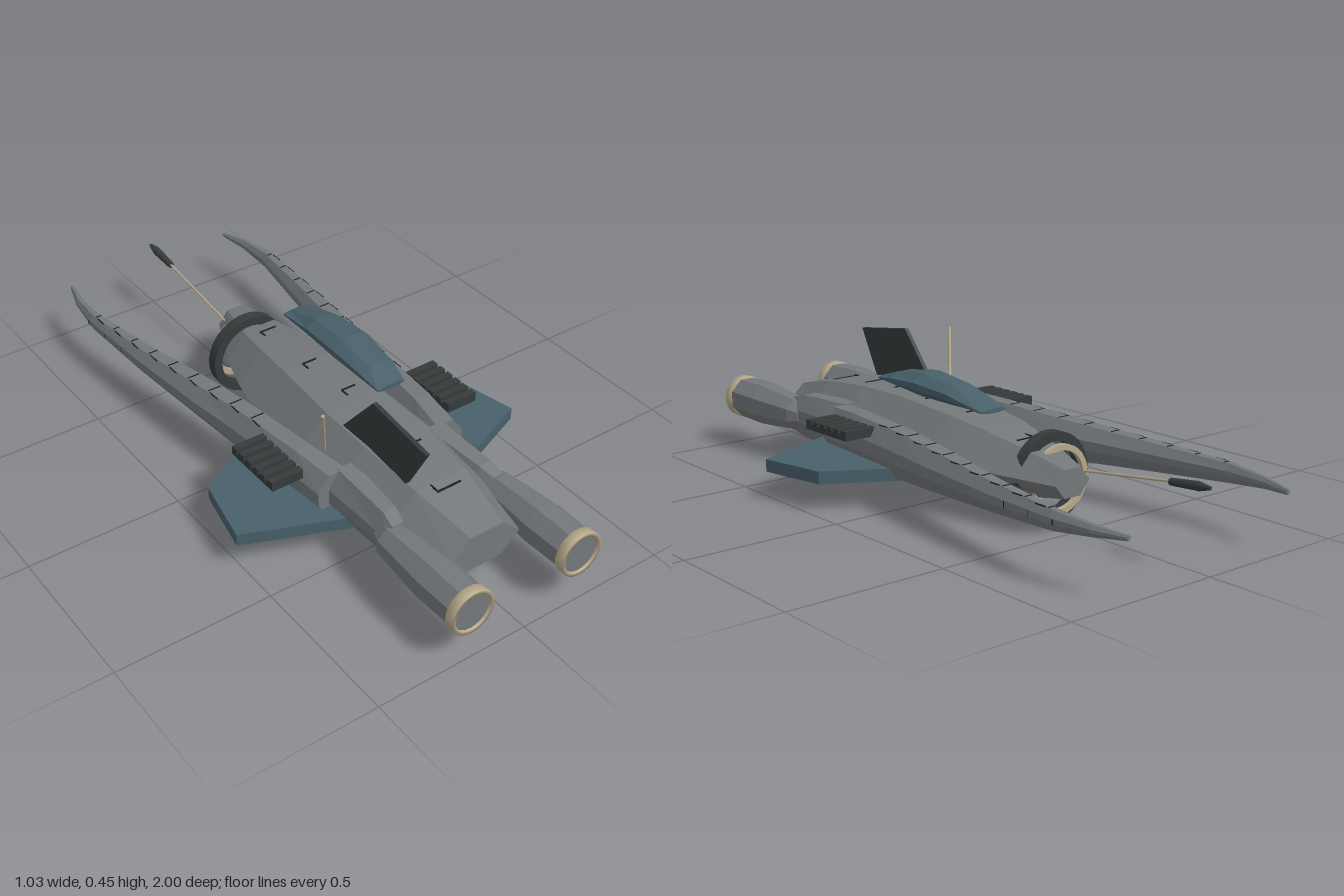
import * as THREE from 'three';

const paint = (name, color, side = THREE.FrontSide) => {
  const m = new THREE.MeshStandardMaterial({ color, side });
  m.name = name;
  return m;
};

// Unit cross-sections, counter-clockwise seen from the front
const HEX = [[1, 0], [0.47, 1], [-0.47, 1], [-1, 0], [-0.47, -1], [0.47, -1]];
const OCT = [[1, -0.25], [1, 0.3], [0.45, 1], [-0.45, 1], [-1, 0.3], [-1, -0.25], [-0.45, -1], [0.45, -1]];

// Faceted body through stations [z, xMin, xMax, yMin, yMax], ordered front to back
function loft(shape, stations) {
  const rings = stations.map(([z, x0, x1, y0, y1]) => shape.map(([u, v]) =>
    [(x0 + x1) / 2 + u * (x1 - x0) / 2, (y0 + y1) / 2 + v * (y1 - y0) / 2, z]));
  const pos = [], n = shape.length, last = rings.length - 1;
  const tri = (a, b, c) => pos.push(...a, ...b, ...c);
  for (let i = 0; i < last; i++) for (let j = 0; j < n; j++) {
    const k = (j + 1) % n, p = rings[i], q = rings[i + 1];
    tri(p[j], q[j], p[k]);
    tri(p[k], q[j], q[k]);
  }
  for (let j = 1; j < n - 1; j++) {
    tri(rings[0][0], rings[0][j], rings[0][j + 1]);
    tri(rings[last][0], rings[last][j + 1], rings[last][j]);
  }
  const g = new THREE.BufferGeometry();
  g.setAttribute('position', new THREE.Float32BufferAttribute(pos, 3));
  g.computeVertexNormals();
  return g;
}

// Value of a station column at a given z
function sample(stations, z, col) {
  for (let i = 0; i < stations.length - 1; i++) {
    const a = stations[i], b = stations[i + 1];
    if (z <= a[0] && z >= b[0]) return THREE.MathUtils.lerp(a[col], b[col], (a[0] - z) / (a[0] - b[0]));
  }
  return stations[stations.length - 1][col];
}

const mirrorX = (s, stations) => s > 0 ? stations : stations.map(([z, a, b, c, d]) => [z, -b, -a, c, d]);

const HULL = [
  [0.82, -0.12, 0.125, 0.1, 0.22], [0.62, -0.19, 0.19, 0.06, 0.265], [0.4, -0.22, 0.22, 0.04, 0.287],
  [0.2, -0.212, 0.215, 0.04, 0.287], [-0.05, -0.175, 0.21, 0.053, 0.275], [-0.2, -0.145, 0.195, 0.07, 0.26],
  [-0.34, -0.1, 0.165, 0.088, 0.238], [-0.53, -0.01, 0.12, 0.12, 0.205],
];
const PRONG = [
  [0.4, 0.13, 0.265, 0.088, 0.238], [0.26, 0.16, 0.278, 0.09, 0.245], [0, 0.19, 0.302, 0.095, 0.24],
  [-0.19, 0.215, 0.325, 0.105, 0.23], [-0.5, 0.278, 0.352, 0.125, 0.212], [-0.77, 0.322, 0.365, 0.143, 0.2],
  [-0.9, 0.32, 0.348, 0.157, 0.19], [-1, 0.303, 0.316, 0.166, 0.181],
];

export function createModel() {
  const root = new THREE.Group();
  const grey = paint('hull grey', 0x74787b);
  const teal = paint('dark teal', 0x48606a);
  const dark = paint('charcoal', 0x353a3a);
  const cream = paint('sand metal', 0xb5a88a);
  const seam = paint('panel seam', 0x1e2122);

  const add = (name, geo, mat, x = 0, y = 0, z = 0, parent = root) => {
    const m = new THREE.Mesh(geo, mat);
    m.name = name;
    m.position.set(x, y, z);
    parent.add(m);
    return m;
  };
  const box = (w, h, d) => new THREE.BoxGeometry(w, h, d);
  const rod = (name, from, to, r0, r1, mat, sides = 8) => {
    const a = new THREE.Vector3(...from), b = new THREE.Vector3(...to), d = b.clone().sub(a);
    const m = add(name, new THREE.CylinderGeometry(r1, r0, d.length(), sides), mat);
    m.position.copy(a).add(b).multiplyScalar(0.5);
    m.quaternion.setFromUnitVectors(new THREE.Vector3(0, 1, 0), d.normalize());
    return m;
  };

  add('hull', loft(HEX, HULL), grey);
  add('canopy', loft(OCT, [
    [0.27, 0.042, 0.14, 0.335, 0.35], [0.19, 0.038, 0.158, 0.327, 0.373], [0.05, 0.035, 0.175, 0.32, 0.394],
    [-0.1, 0.045, 0.172, 0.32, 0.38], [-0.25, 0.06, 0.158, 0.32, 0.333],
  ]), teal);

  for (const s of [1, -1]) {
    // Long curved prongs and the fairings that lead to the engines
    add('prong', loft(OCT, mirrorX(s, PRONG)), grey);
    add('engineFairing', loft(OCT, mirrorX(s, [
      [0.66, 0.14, 0.225, 0.105, 0.22], [0.61, 0.125, 0.222, 0.09, 0.235], [0.39, 0.1, 0.228, 0.08, 0.242],
    ])), grey);

    // Engine with nozzle ring
    const engine = new THREE.Group();
    engine.name = 'engine';
    engine.position.set(0.193 * s, 0.163, 0);
    root.add(engine);
    const ring = (z, r) => [z, -r, r, -r, r];
    const eight = Array.from({ length: 8 }, (_, i) => {
      const a = (i + 0.5) * Math.PI / 4;
      return [Math.cos(a), Math.sin(a)];
    });
    add('engineBody', loft(eight, [ring(0.975, 0.069), ring(0.84, 0.072), ring(0.65, 0.055), ring(0.61, 0.035)]),
      grey, 0, 0, 0, engine);
    const nozzle = [[0.06, 0.97], [0.072, 0.97], [0.072, 1], [0.06, 1], [0.06, 0.97]]
      .map(p => new THREE.Vector2(...p));
    add('nozzleRing', new THREE.LatheGeometry(nozzle, 28).toNonIndexed(), cream, 0, 0, 0, engine)
      .rotation.x = Math.PI / 2;
    add('nozzleDisc', new THREE.CircleGeometry(0.061, 28), grey, 0, 0, 0.993, engine);

    // Flat swept wing
    const plan = new THREE.Shape([[0.09, -0.09], [0.468, 0.13], [0.513, 0.35], [0.22, 0.47], [0.09, 0.52]]
      .map(([x, z]) => new THREE.Vector2(x * s, z)));
    add('wing', new THREE.ExtrudeGeometry(plan, { depth: 0.04, bevelEnabled: false }), teal, 0, 0.125, 0)
      .rotation.x = Math.PI / 2;

    // Ribbed vent block
    add('ventBase', box(0.105, 0.018, 0.21), dark, 0.322 * s, 0.212, 0.225);
    for (let i = 0; i < 6; i++)
      add('ventSlat', box(0.108, 0.026, 0.024), dark, 0.322 * s, 0.22, 0.132 + i * 0.037);

    // Seams along the top and outer flank of each prong
    for (let i = 0; i < 9; i++) {
      const z = 0.05 - i * 0.1;
      const x0 = sample(PRONG, z, 1), x1 = sample(PRONG, z, 2), y0 = sample(PRONG, z, 3), y1 = sample(PRONG, z, 4);
      const w = x1 - x0;
      add('prongTopSeam', box(w * 0.4, 0.003, 0.004), seam, (x0 + x1) / 2 * s, y1, z);
      add('prongSideSeam', box(0.003, (y1 - y0) * 0.25, 0.004), seam, x1 * s, (y0 + y1) / 2, z - 0.03);
      add('prongEdgeSeam', box(0.003, 0.003, 0.04), seam, ((x0 + x1) / 2 + w * 0.2) * s, y1, z + 0.03);
    }
  }

  // Hull top panel marks: [x, z, width, leg direction]
  for (const [x, z, w, leg] of [[0.04, -0.31, 0.06, 1], [0.02, -0.05, 0.05, 1], [0.0, 0.32, 0.08, -1],
    [0.005, 0.46, 0.1, 1], [0.005, 0.65, 0.085, -1], [0.03, 0.14, 0.05, 1]]) {
    const cross = add('panelSeam', box(w, 0.003, 0.006), seam, x, sample(HULL, z, 4) + 0.001, z);
    const zl = z + leg * 0.017;
    add('panelSeamLeg', box(0.005, 0.004, 0.03), seam, x - w / 2, sample(HULL, zl, 4) + 0.001, zl);
    cross.rotation.x = 0.05;
  }

  // Off-centre raked fin
  const fin = new THREE.Shape([[-0.66, 0.42], [-0.575, 0.26], [-0.285, 0.26], [-0.285, 0.29], [-0.42, 0.45]]
    .map(p => new THREE.Vector2(...p)));
  add('fin', new THREE.ExtrudeGeometry(fin, { depth: 0.014, bevelEnabled: false }), dark, -0.08, 0, 0)
    .rotation.y = Math.PI / 2;
  root.children[root.children.length - 1].position.x = -0.094;

  // Whip aerial and nose probe
  rod('whipAerial', [-0.165, 0.235, 0.29], [-0.236, 0.443, 0.38], 0.005, 0.005, cream);
  rod('noseProbe', [0, 0.18, -0.48], [0, 0.233, -0.88], 0.004, 0.004, cream);
  rod('probeTip', [0, 0.228, -0.85], [0, 0.238, -0.95], 0.011, 0.014, dark);
  rod('probePoint', [0, 0.238, -0.95], [0, 0.241, -0.99], 0.014, 0.005, dark);

  // Paired rings around the nose
  const hoop = (name, r0, r1, z, depth, mat) => {
    const shape = new THREE.Shape().absarc(0, 0, r1, 0, Math.PI * 2, false);
    shape.holes.push(new THREE.Path().absarc(0, 0, r0, 0, Math.PI * 2, true));
    add(name, new THREE.ExtrudeGeometry(shape, { depth, bevelEnabled: false, curveSegments: 20 }), mat, 0, 0.137, z);
  };
  hoop('noseRing', 0.108, 0.137, -0.393, 0.036, dark);
  hoop('innerNoseRing', 0.088, 0.106, -0.425, 0.016, cream);

  return root;
}
